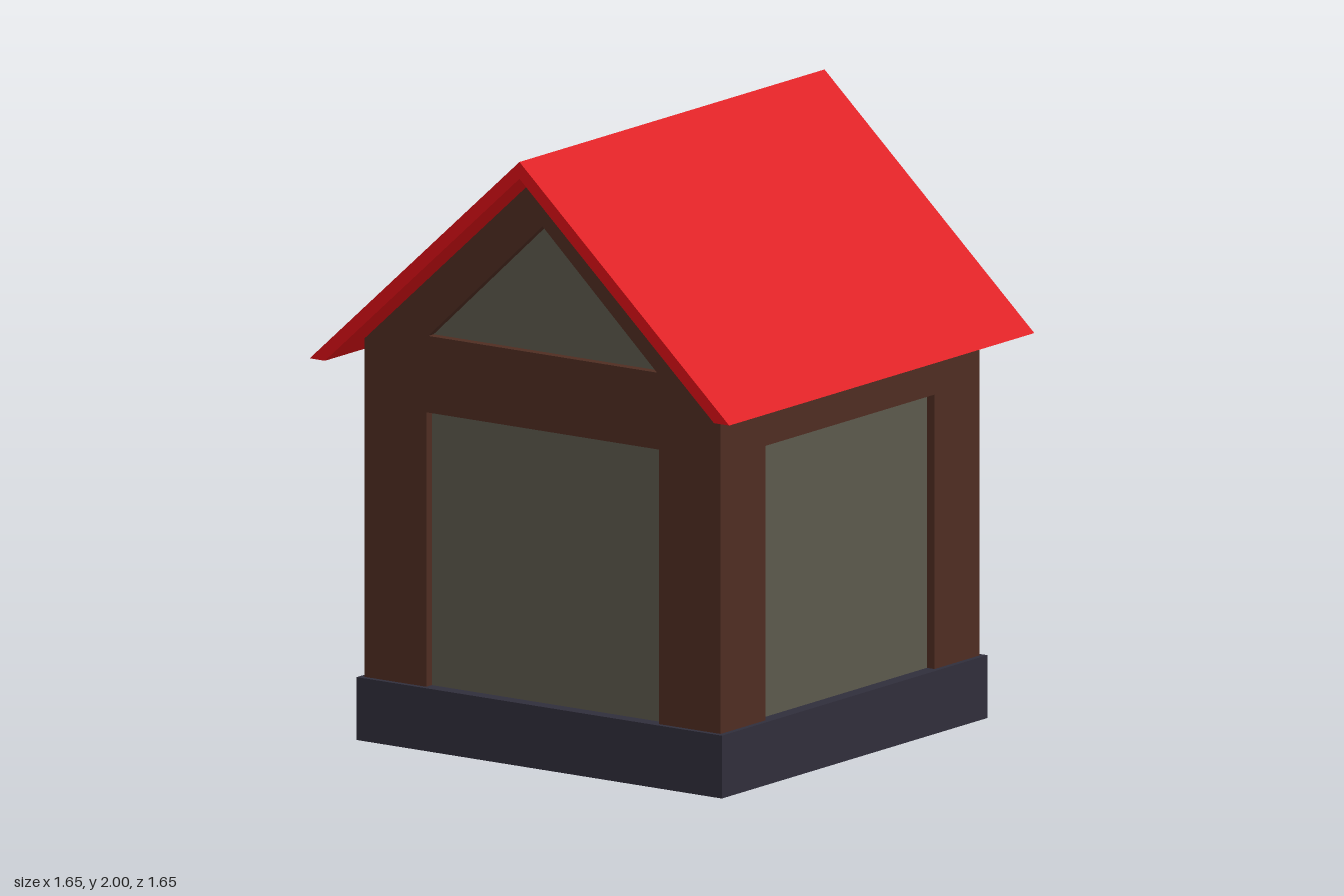
import * as THREE from 'three';

const paint = (color) => new THREE.MeshStandardMaterial({ color, flatShading: true });

// Closed shape, optionally with one hole, from a few corner points
function outline(points, hole) {
  const toVectors = (list) => list.map(([x, y]) => new THREE.Vector2(x, y));
  const shape = new THREE.Shape(toVectors(points));
  if (hole) shape.holes.push(new THREE.Path(toVectors(hole)));
  return shape;
}

// Extrusion of a z-y profile along x, starting at x = start
function alongX(shape, start, depth) {
  return new THREE.ExtrudeGeometry(shape, { depth, bevelEnabled: false })
    .rotateY(Math.PI / 2)
    .translate(start, 0, 0);
}

export function createModel() {
  const house = new THREE.Group();
  house.name = 'house';
  const wood = paint(0x4f2d22);
  const stone = paint(0x302e3b);
  const glass = paint(0x5c594c);
  const red = paint(0xdd0f16);

  const add = (name, geometry, material) => {
    const mesh = new THREE.Mesh(geometry, material);
    mesh.name = name;
    house.add(mesh);
    return mesh;
  };

  const half = 0.7, inner = 0.67, thick = half - inner;
  const baseTop = 0.205, eave = 1.309, ridge = 1.945;
  const openHalf = 0.457, openTop = 1.1;

  // Foundation slab
  add('foundation', new THREE.BoxGeometry(1.436, baseTop, 1.436).translate(0, baseTop / 2, 0), stone);

  // Recessed panes: one gabled core showing through every opening
  const core = outline([[-inner, 0.1], [inner, 0.1], [inner, 1.33], [0, 1.94], [-inner, 1.33]]);
  add('panes', alongX(core, -inner, 2 * inner), glass);

  // Gable walls with a floor-level opening and a triangular window
  const gable = outline(
    [[-half, baseTop], [-openHalf, baseTop], [-openHalf, openTop], [openHalf, openTop], [openHalf, baseTop],
      [half, baseTop], [half, eave], [0, ridge], [-half, eave]],
    [[-0.45, 1.35], [0, 1.767], [0.45, 1.35]]
  );
  add('leftGableWall', alongX(gable, inner, thick), wood);
  add('rightGableWall', alongX(gable, -half, thick), wood);

  // Front and back walls with a wide opening
  const side = outline(
    [[-inner, baseTop], [-openHalf, baseTop], [-openHalf, openTop], [openHalf, openTop], [openHalf, baseTop],
      [inner, baseTop], [inner, eave], [-inner, eave]]
  );
  for (const [name, z] of [['frontWall', inner], ['backWall', -half]]) {
    add(name, new THREE.ExtrudeGeometry(side, { depth: thick, bevelEnabled: false }).translate(0, 0, z), wood);
  }

  // Door slab, standing just proud of the wall and foundation
  add('door', new THREE.BoxGeometry(0.06, 0.975, 0.548).translate(0.691, 0.4875, 0), wood);

  // Pitched roof with level-cut eaves
  const roof = outline([[-0.825, 1.25], [-0.765, 1.25], [0, ridge], [0.765, 1.25], [0.825, 1.25], [0, 2]]);
  add('roof', alongX(roof, -0.825, 1.65), red);

  return house;
}
